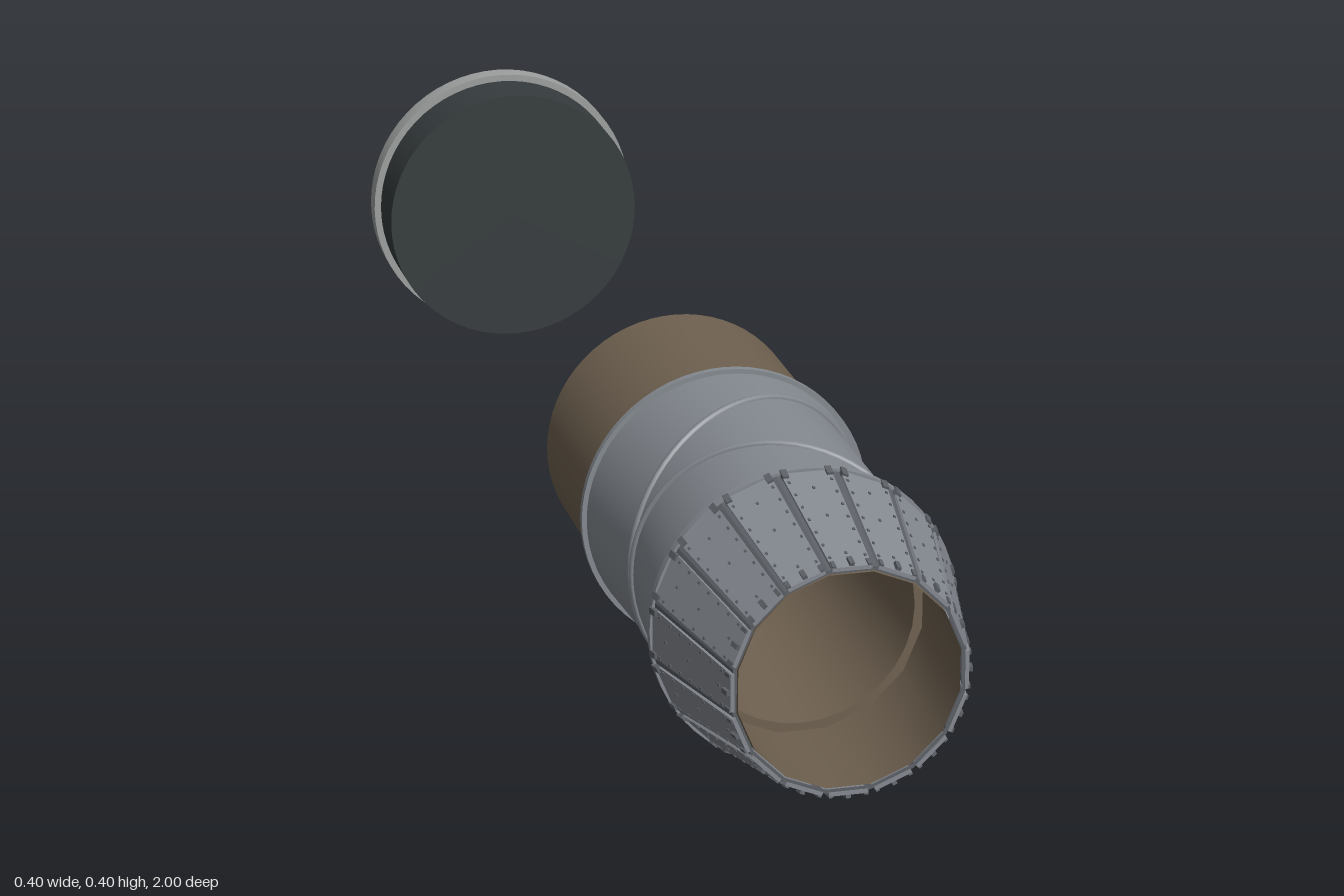
import * as THREE from 'three';
import { mergeGeometries, toCreasedNormals } from 'three/addons/utils/BufferGeometryUtils.js';

const AXIS_Y = 0.202;
const PETALS = 16;
const mat = (color, flatShading = false) =>
  new THREE.MeshStandardMaterial({ color, flatShading, side: THREE.DoubleSide });

const steel = mat(0x858a91);
const steelFlat = mat(0x858a91, true);
const darkSteel = mat(0x5c6066, true);
const brown = mat(0x6f6150);
const dark = mat(0x363c3e);
const lightRing = mat(0x9da09f);
const fanMetal = mat(0xa9a28c);

function add(parent, name, geometry, material) {
  const mesh = new THREE.Mesh(geometry, material);
  mesh.name = name;
  parent.add(mesh);
  return mesh;
}

// Surface of revolution about z from [radius, z] pairs, with sharp corners kept
function revolve(points, segments = 64, start = 0) {
  const g = new THREE.LatheGeometry(points.map(p => new THREE.Vector2(...p)), segments, start);
  g.rotateX(Math.PI / 2);
  return toCreasedNormals(g, 0.5);
}

// Tube skinned over circles that may be tilted about y: [centre z, radius, tilt]
function skin(rings, n = 64) {
  const pos = [], index = [];
  rings.forEach(([z, r, tilt]) => {
    for (let i = 0; i <= n; i++) {
      const a = i / n * Math.PI * 2, x = r * Math.cos(a);
      pos.push(x * Math.cos(tilt), r * Math.sin(a), z - x * Math.sin(tilt));
    }
  });
  for (let j = 0; j < rings.length - 1; j++) {
    for (let i = 0; i < n; i++) {
      const a = j * (n + 1) + i, b = a + n + 1;
      index.push(a, a + 1, b, a + 1, b + 1, b);
    }
  }
  const g = new THREE.BufferGeometry();
  g.setAttribute('position', new THREE.Float32BufferAttribute(pos, 3));
  g.setIndex(index);
  g.computeVertexNormals();
  return g;
}

// Nozzle taper: flat-to-axis distance at a given z
const nozzleRadius = z => THREE.MathUtils.mapLinear(z, 0.785, 1, 0.19, 0.144);

// One flat tapered petal lying over the top of the nozzle
function petalGeometry() {
  const g = new THREE.BoxGeometry(1, 1, 1);
  const p = g.attributes.position;
  for (let i = 0; i < p.count; i++) {
    const z = p.getZ(i) > 0 ? 0.998 : 0.79;
    const r = nozzleRadius(z);
    p.setXYZ(i, p.getX(i) * 2 * r * Math.tan(0.168), r + (p.getY(i) > 0 ? 0.003 : -0.002), z);
  }
  g.computeVertexNormals();
  return g;
}

// Rivet rows, tip lug and hinge knuckles for one petal
function petalFittings() {
  const parts = [];
  const box = (w, h, d, x, z, lift = 0.003) => {
    const g = new THREE.BoxGeometry(w, h, d);
    g.rotateX(0.21);
    g.translate(x, nozzleRadius(z) + lift, z);
    parts.push(g);
  };
  for (let k = 0; k < 7; k++) {
    const z = 0.815 + k * 0.027;
    for (const s of [-1, 1]) box(0.003, 0.003, 0.004, s * nozzleRadius(z) * 0.145, z);
  }
  for (const z of [0.83, 0.89, 0.97]) box(0.003, 0.003, 0.004, 0, z);
  box(0.006, 0.009, 0.014, 0, 0.99);
  for (const s of [-1, 1]) {
    box(0.005, 0.006, 0.012, s * 0.022, 0.992, 0.002);
    box(0.008, 0.008, 0.016, s * 0.028, 0.797, 0.002);
  }
  return mergeGeometries(parts);
}

function buildExhaust() {
  const g = new THREE.Group();
  g.name = 'exhaustSection';

  // Rear duct and its closed end
  add(g, 'rearDuct', revolve([[0.176, 0.15], [0.176, 0.42]]), brown);
  add(g, 'rearDuctCap', revolve([[0, 0.15], [0.176, 0.15]]), dark);

  // Swivel duct: three wedge sections meeting at tilted circular joints
  const tilt = 0.415;
  const joints = [[0.41, 0.185, 0], [0.523, 0.186, tilt], [0.682, 0.186, -tilt], [0.785, 0.187, 0]];
  for (let i = 0; i < 3; i++) {
    add(g, 'swivelSection' + (i + 1), skin([joints[i], joints[i + 1]]), steel);
  }
  for (const [z, r, t] of joints.slice(1, 3)) {
    const ring = add(g, 'swivelJoint', new THREE.TorusGeometry(r, 0.005, 8, 64), steel);
    ring.position.z = z;
    ring.rotation.y = t;
  }

  // Flanges at both ends of the swivel duct
  const flange = (z, r, w) =>
    add(g, 'flange', revolve([[0.174, z - w], [r, z - w], [r, z + w], [0.174, z + w]]), steel);
  flange(0.412, 0.191, 0.005);
  flange(0.788, 0.195, 0.006);

  // Faceted nozzle shell with overlapping petals
  const corner = 1 / Math.cos(Math.PI / PETALS);
  add(g, 'nozzleShell', revolve([[0.189 * corner, 0.79], [0.144 * corner, 0.995], [0.139 * corner, 0.995]],
    PETALS, Math.PI / PETALS), darkSteel);
  const petal = petalGeometry(), fittings = petalFittings();
  for (let i = 0; i < PETALS; i++) {
    const unit = new THREE.Group();
    unit.name = 'nozzlePetal' + (i + 1);
    unit.rotation.z = i * Math.PI * 2 / PETALS;
    add(unit, 'petal', petal, steelFlat);
    add(unit, 'petalFittings', fittings, darkSteel);
    g.add(unit);
  }

  // Inner lining, stepped behind the nozzle and narrowing to the flame holder
  add(g, 'nozzleLining', revolve([[0.156, 0.79], [0.14, 0.995]], PETALS, Math.PI / PETALS), brown);
  add(g, 'ductLining', revolve([[0.1, 0.4], [0.123, 0.4], [0.143, 0.79], [0.16, 0.79]], 32), brown);
  add(g, 'tailCone', revolve([[0.1, 0.4], [0.098, 0.34], [0.052, 0.42], [0.006, 0.44], [0, 0.45]], 48), dark);
  return g;
}

// Twisted fan blade, root to tip along y
function bladeGeometry() {
  const g = new THREE.PlaneGeometry(1, 1, 4, 8);
  const p = g.attributes.position;
  for (let i = 0; i < p.count; i++) {
    const t = p.getY(i) + 0.5, u = p.getX(i);
    const chord = THREE.MathUtils.lerp(0.04, 0.062, t);
    const a = THREE.MathUtils.lerp(1.1, 0.6, t);
    const camber = 0.006 * (1 - 4 * u * u);
    p.setXYZ(i, u * chord * Math.cos(a) - camber * Math.sin(a), 0.04 + 0.138 * t,
      u * chord * Math.sin(a) + camber * Math.cos(a));
  }
  g.computeVertexNormals();
  return g;
}

function buildFan() {
  const g = new THREE.Group();
  g.name = 'intakeFan';

  // Closed drum with a light lip around its mouth
  add(g, 'fanCasing', revolve([[0.18, -0.95], [0.18, -0.86], [0, -0.86]]), dark);
  add(g, 'fanDrum', revolve([[0.192, -0.94], [0.192, -0.853], [0, -0.853]]), dark);
  add(g, 'intakeLip', revolve([[0.18, -0.935], [0.202, -0.935], [0.202, -0.965], [0.199, -0.969],
    [0.187, -0.969], [0.18, -0.955], [0.18, -0.935]]), lightRing);

  // Spinner and blades
  add(g, 'spinner', revolve([[0, -1], [0.026, -0.97], [0.045, -0.942], [0.052, -0.925], [0.052, -0.86]], 32), fanMetal);
  const blade = bladeGeometry(), count = 22;
  for (let i = 0; i < count; i++) {
    const b = add(g, 'fanBlade' + (i + 1), blade, fanMetal);
    b.position.z = -0.908;
    b.rotation.z = i * Math.PI * 2 / count;
  }
  return g;
}

export function createModel() {
  const model = new THREE.Group();
  model.name = 'jetEngineParts';
  for (const part of [buildExhaust(), buildFan()]) {
    part.position.y = AXIS_Y;
    model.add(part);
  }
  return model;
}
